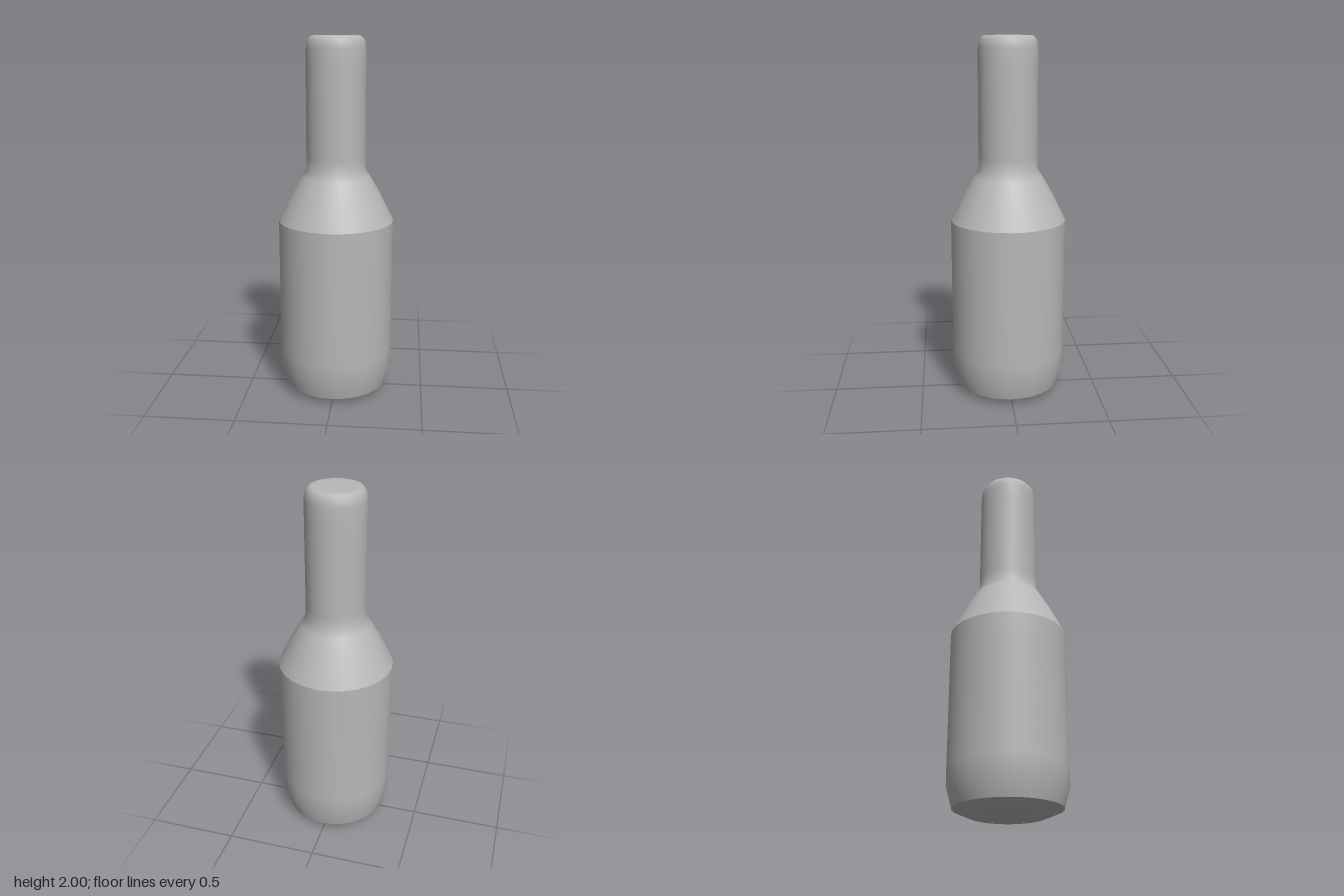
import * as THREE from 'three';

const SEGMENTS = 32;

export function createModel() {
  const group = new THREE.Group();
  group.name = 'bottle';
  const grey = new THREE.MeshStandardMaterial({ color: 0xb8b8b8 });
  grey.name = 'grey';

  // Each section is its own smooth lathe, so the joins between sections stay crisp
  const addSection = (name, profile) => {
    const points = profile.map(([r, y]) => new THREE.Vector2(r, y));
    const mesh = new THREE.Mesh(new THREE.LatheGeometry(points, SEGMENTS), grey);
    mesh.name = name;
    group.add(mesh);
  };

  // Flat underside with a shallow bevel
  addSection('base', [[0, 0], [0.1, 0], [0.205, 0.005], [0.288, 0.04]]);
  // Straight body with a chamfered foot
  addSection('body', [[0.288, 0.04], [0.318, 0.15], [0.319, 0.25], [0.319, 0.9], [0.319, 1.0]]);
  // Sloping shoulder running smoothly into the neck and its rounded, closed top
  addSection('shoulderAndNeck', [
    [0.319, 1.0], [0.245, 1.15], [0.19, 1.245], [0.164, 1.285], [0.163, 1.35],
    [0.162, 1.85], [0.161, 1.935], [0.154, 1.975], [0.138, 1.996], [0.12, 2], [0, 2],
  ]);
  return group;
}
